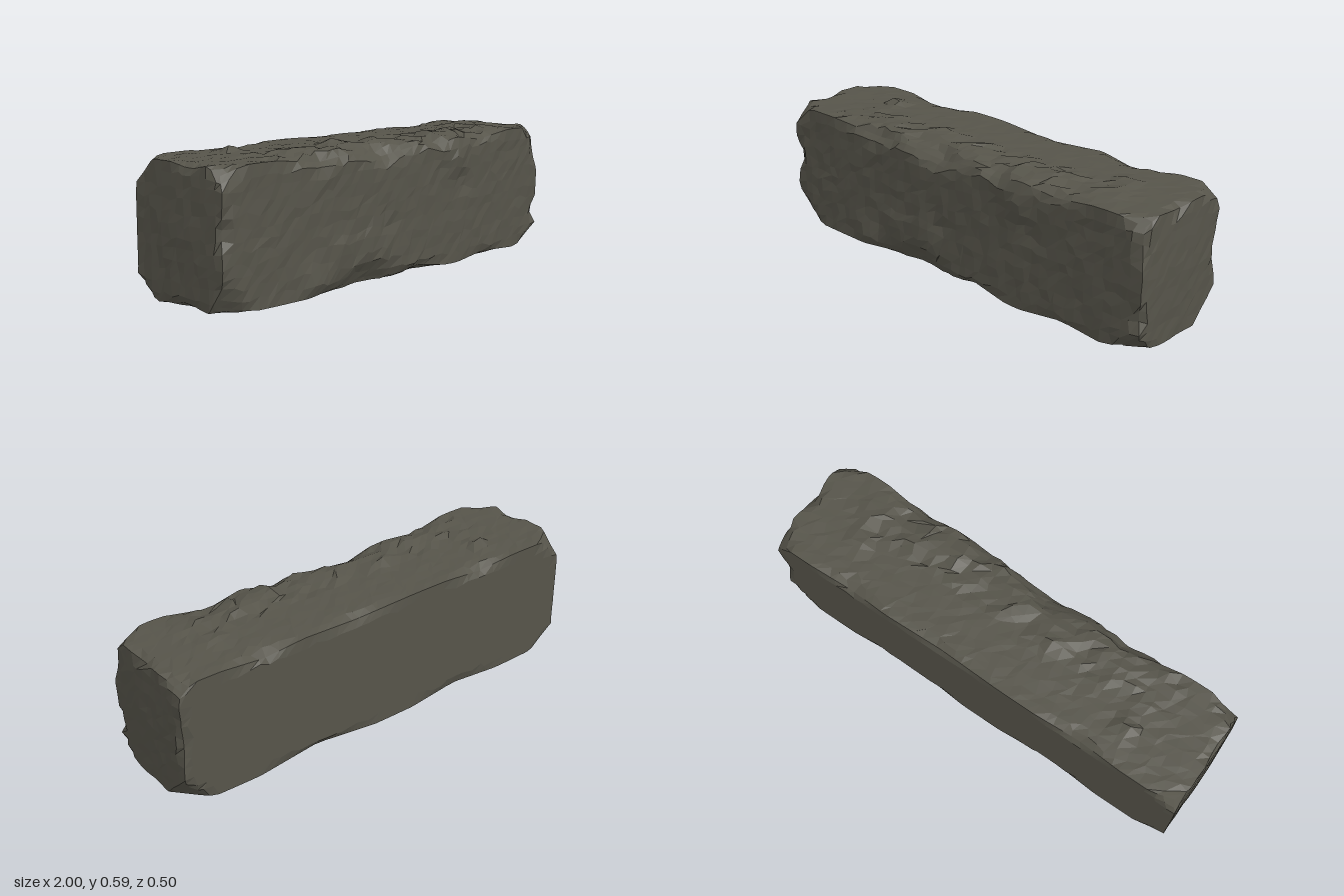
import * as THREE from 'three';

const X = 0.99, H = 0.56, BACK = -0.255, FRONT = 0.228;

// Repeatable pseudo-random value from a grid position
function hash(x, y, z, k) {
  const s = Math.sin(Math.round(x * 500) * 12.99 + Math.round(y * 500) * 78.23 + Math.round(z * 500) * 37.72 + k * 4.7) * 43758.5453;
  return s - Math.floor(s);
}

// Chips: edge or corner point, then cut length along x, y, z
const corners = [
  [-X, H, FRONT, 0.12, 0.09, 0.09], [X, H, FRONT, 0.13, 0.09, 0.08],
  [-X, 0, FRONT, 0.15, 0.15, 0.08], [X, 0, FRONT, 0.15, 0.09, 0.09],
  [-X, H, BACK, 0.12, 0.1, 0.1], [X, H, BACK, 0.08, 0.06, 0.13],
  [-X, 0, BACK, 0.12, 0.1, 0.1], [X, 0, BACK, 0.12, 0.13, 0.13],
];
const edges = [
  // top front
  [-0.45, H, FRONT, 0.28, 0.07, 0.07], [-0.08, H, FRONT, 0.32, 0.09, 0.1],
  [0.24, H, FRONT, 0.16, 0.05, 0.08], [0.56, H, FRONT, 0.2, 0.04, 0.07],
  // bottom front
  [-0.2, 0, FRONT, 0.35, 0.11, 0.06], [0.12, 0, FRONT, 0.2, 0.04, 0.07], [0.6, 0, FRONT, 0.2, 0.03, 0.03],
  // top back
  [-0.52, H, BACK, 0.2, 0.04, 0.06], [0.15, H, BACK, 0.3, 0.03, 0.04], [0.6, H, BACK, 0.2, 0.04, 0.07],
  // bottom back
  [-0.4, 0, BACK, 0.25, 0.03, 0.03], [0.35, 0, BACK, 0.3, 0.04, 0.04],
  // upright edges
  [-X, 0.31, FRONT, 0.06, 0.09, 0.05], [X, 0.16, FRONT, 0.05, 0.07, 0.05],
  [X, 0.45, FRONT, 0.04, 0.09, 0.04], [X, 0.3, BACK, 0.03, 0.15, 0.04],
  // end edges running front to back
  [X, H, 0, 0.04, 0.04, 0.1], [-X, H, 0.05, 0.05, 0.03, 0.1], [-X, 0, 0, 0.04, 0.03, 0.15],
];

// Raised lumps: x, z, radius, height on top; x, y, radius, height in front
const topLumps = [
  [-0.65, -0.095, 0.06, 0.035], [-0.5, 0.1, 0.12, 0.028], [-0.38, 0.13, 0.1, 0.028],
  [-0.2, 0.06, 0.1, 0.03], [0, 0.1, 0.1, 0.03], [0.35, 0.11, 0.1, 0.028],
  [0.5, 0.1, 0.09, 0.028], [0.7, -0.04, 0.08, 0.028], [0.72, 0.1, 0.09, 0.025],
];
const frontLumps = [
  [0.38, 0.46, 0.09, 0.026], [0.3, 0.5, 0.06, 0.015], [-0.52, 0.06, 0.1, 0.022],
  [-0.35, 0.16, 0.1, 0.014], [-0.15, 0.15, 0.12, 0.014], [-0.42, 0.5, 0.08, 0.012],
  [-0.08, 0.25, 0.06, -0.02], [0.43, 0.36, 0.05, -0.02],
];

const lift = (lumps, u, v) => lumps.reduce((sum, [a, b, r, h]) =>
  sum + h * Math.max(0, 1 - Math.hypot(u - a, v - b) / r), 0);

// Press a point inward onto the sloping face of a chip
function cut(p, chip, lockAxis) {
  const inward = [], slope = [];
  for (let i = 0; i < 3; i++) {
    inward[i] = Math.abs(p.getComponent(i) - chip[i]) / chip[i + 3];
    slope[i] = i === lockAxis ? 0 : 1 / chip[i + 3];
  }
  const lack = 1 - inward[0] - inward[1] - inward[2];
  if (lack <= 0) return;
  const size = slope[0] ** 2 + slope[1] ** 2 + slope[2] ** 2;
  const middle = [0, H / 2, 0];
  for (let i = 0; i < 3; i++) {
    const dir = chip[i] < middle[i] ? 1 : -1;
    p.setComponent(i, p.getComponent(i) + dir * lack * slope[i] / size);
  }
}

// Axis an edge chip runs along
function runAxis([x, y]) {
  if (Math.abs(x) < X) return 0;
  return y > 0 && y < H ? 1 : 2;
}

function stoneGeometry() {
  const depth = FRONT - BACK;
  const geo = new THREE.BoxGeometry(2 * X, H, depth, 44, 12, 12);
  geo.translate(0, H / 2, (FRONT + BACK) / 2);
  const pos = geo.attributes.position;
  const p = new THREE.Vector3();
  for (let i = 0; i < pos.count; i++) {
    p.fromBufferAttribute(pos, i);
    const { x, y, z } = p;
    const r = (k) => hash(x, y, z, k) - 0.5;
    const onEnd = Math.abs(x) > X - 1e-4;
    const onTop = y > H - 1e-4, onBase = y < 1e-4;
    const onFront = z > FRONT - 1e-4, onBack = z < BACK + 1e-4;

    // uneven facets: slide points within their face
    if (!onEnd) p.x += r(1) * 0.03;
    if (!onTop && !onBase) p.y += r(2) * 0.025;
    if (!onFront && !onBack) p.z += r(3) * 0.025;

    // chips along edges and at corners
    edges.forEach((e) => cut(p, e, runAxis(e)));
    corners.forEach((c) => cut(p, c, -1));

    // rough top and front, slightly crowned ends and base
    if (onTop && !onEnd && !onFront && !onBack) {
      const rough = z > 0 && Math.abs(x) < 0.75 ? 0.016 : 0.004;
      p.y += lift(topLumps, p.x, p.z) * (0.8 + r(4) * 0.5) + r(5) * rough;
    }
    if (onFront && !onEnd && !onTop && !onBase) {
      p.z += lift(frontLumps, p.x, p.y) + r(6) * 0.006;
    }
    if (onEnd) {
      const crown = Math.max(0, 1 - Math.hypot((y - 0.3) / 0.3, z / 0.27));
      p.x += Math.sign(x) * (0.01 * crown + r(7) * 0.004);
    }
    p.y += 0.014 * x * x * Math.max(0, 1 - p.y / 0.3);
    pos.setXYZ(i, p.x, p.y, p.z);
  }
  geo.computeVertexNormals();
  return geo;
}

export function createModel() {
  const group = new THREE.Group();
  group.name = 'stoneBlock';
  const stone = new THREE.MeshStandardMaterial({ color: 0x56544a, flatShading: true });
  stone.name = 'darkStone';
  const block = new THREE.Mesh(stoneGeometry(), stone);
  block.name = 'roughBlock';
  group.add(block);
  return group;
}
